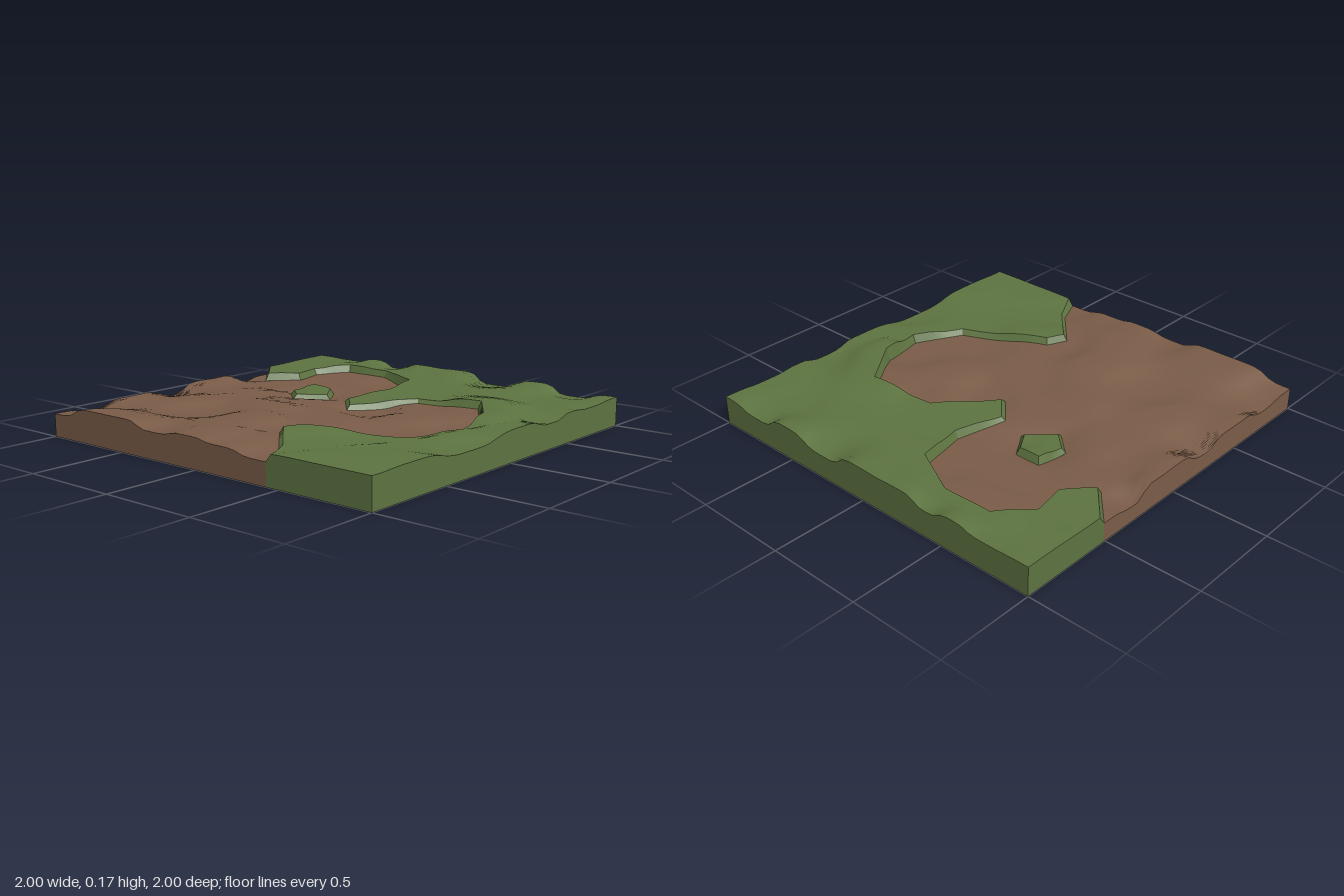
import * as THREE from 'three';
import { mergeVertices } from 'three/addons/utils/BufferGeometryUtils.js';

const LEVELS = 4, SEGS = 2 ** LEVELS;
const grassMat = new THREE.MeshStandardMaterial({ color: 0x5d7340, side: THREE.DoubleSide });
const dirtMat = new THREE.MeshStandardMaterial({ color: 0x7a5c48, side: THREE.DoubleSide });

// Plan outlines as [x, z]
const bank = [[-1, 0.46], [-0.83, 0.37], [-0.62, 0.18], [-0.53, 0.22], [-0.34, 0.67], [-0.09, 0.8],
  [0.15, 0.75], [0.39, 0.58], [0.35, 0.22], [0.07, 0], [0.19, -0.11], [0.45, -0.05], [0.7, -0.1],
  [0.83, -0.36], [0.83, -0.63], [0.66, -0.76], [0.49, -0.73], [0.37, -0.85], [0.54, -1]];
const islet = [[0.12, -0.41], [0.2, -0.5], [0.34, -0.48], [0.335, -0.36], [0.225, -0.29]];

// Height samples as [x, z, y]
const grassHeights = [
  [-1, 1, 0.15], [-0.75, 1, 0.155], [-0.3, 1, 0.12], [0.1, 1, 0.155], [0.37, 1, 0.125], [0.55, 1, 0.15],
  [0.7, 1, 0.14], [1, 1, 0.15], [1, 0.73, 0.12], [1, 0.55, 0.17], [1, 0.25, 0.12], [1, 0.05, 0.175],
  [1, -0.25, 0.175], [1, -0.42, 0.135], [1, -0.55, 0.17], [1, -0.75, 0.145], [1, -1, 0.15],
  [-1, 0.6, 0.15], [-0.83, 0.37, 0.14], [-0.55, 0.2, 0.16], [-0.34, 0.67, 0.13], [-0.09, 0.8, 0.145],
  [0.15, 0.75, 0.175], [0.39, 0.58, 0.17], [0.35, 0.22, 0.14], [0.07, 0, 0.125], [0.45, -0.05, 0.14],
  [0.7, -0.1, 0.15], [0.83, -0.36, 0.15], [0.83, -0.63, 0.155], [0.6, -0.75, 0.14], [0.37, -0.85, 0.145],
  [0.2, -0.5, 0.117], [0.34, -0.48, 0.13], [0.23, -0.3, 0.115], [0.7, 0.45, 0.15], [0.8, 0.7, 0.135]];
const dirtHeights = [
  [-1, -1, 0.115], [-1, -0.7, 0.165], [-1, -0.49, 0.165], [-1, -0.29, 0.13], [-1, -0.04, 0.15],
  [-1, 0.13, 0.135], [-1, 0.4, 0.11], [-0.72, -1, 0.095], [-0.61, -1, 0.13], [-0.41, -1, 0.13],
  [-0.25, -1, 0.09], [-0.03, -1, 0.14], [0.18, -1, 0.14], [0.28, -1, 0.08], [0.5, -1, 0.1],
  [-0.8, -0.07, 0.155], [-0.5, -0.1, 0.15], [-0.2, -0.3, 0.14], [0, -0.25, 0.115], [-0.5, -0.5, 0.11],
  [-0.35, -0.68, 0.135], [0, -0.62, 0.125], [0.2, -0.8, 0.11], [0.23, -0.4, 0.085], [0.5, -0.5, 0.1],
  [0.75, -0.5, 0.115], [0.55, -0.15, 0.1], [-0.55, 0.12, 0.125], [-0.2, 0.05, 0.12], [0.1, 0.12, 0.095],
  [0.25, 0.3, 0.12], [0.05, 0.4, 0.125], [-0.25, 0.55, 0.1], [0, 0.68, 0.1], [0.3, 0.55, 0.13]];

// Smooth blend of nearby height samples
const heightFrom = (samples) => (x, z) => {
  let sum = 0, total = 0;
  for (const [sx, sz, sy] of samples) {
    const d2 = (x - sx) ** 2 + (z - sz) ** 2 + 0.002;
    const w = 1 / (d2 * d2);
    sum += w * sy;
    total += w;
  }
  return sum / total;
};
const grassY = heightFrom(grassHeights);
const dirtY = heightFrom(dirtHeights);

// Push an outline towards the dirt side with mitred corners
function offset(path, dist, closed) {
  const normal = (a, b) => {
    const l = Math.hypot(b[0] - a[0], b[1] - a[1]);
    return [(b[1] - a[1]) / l, (a[0] - b[0]) / l];
  };
  const n = path.length;
  return path.map((p, i) => {
    if (!closed && (i === 0 || i === n - 1)) return i === 0 ? [p[0], p[1] - 0.03] : [p[0] - 0.03, p[1]];
    const n1 = normal(path[(i + n - 1) % n], p), n2 = normal(p, path[(i + 1) % n]);
    const k = dist / Math.max(0.5, 1 + n1[0] * n2[0] + n1[1] * n2[1]);
    return [p[0] + (n1[0] + n2[0]) * k, p[1] + (n1[1] + n2[1]) * k];
  });
}

// Split every edge evenly and lift it to a height
function lift(path, yAt) {
  const out = [];
  for (let i = 0; i < path.length - 1; i++) {
    for (let s = i ? 1 : 0; s <= SEGS; s++) {
      const t = s / SEGS;
      const x = path[i][0] + (path[i + 1][0] - path[i][0]) * t;
      const z = path[i][1] + (path[i + 1][1] - path[i][1]) * t;
      out.push([x, yAt(x, z), z]);
    }
  }
  return out;
}

function makeMesh(name, positions, material, smooth) {
  let geo = new THREE.BufferGeometry();
  geo.setAttribute('position', new THREE.Float32BufferAttribute(positions, 3));
  if (smooth) geo = mergeVertices(geo, 1e-5);
  geo.computeVertexNormals();
  const mesh = new THREE.Mesh(geo, material);
  mesh.name = name;
  return mesh;
}

// Rolling ground: triangulated outline, subdivided and lifted
function ground(name, outline, holes, yAt, material) {
  const toV = (p) => new THREE.Vector2(p[0], p[1]);
  const points = [outline, ...holes].flat();
  const faces = THREE.ShapeUtils.triangulateShape(outline.map(toV), holes.map((h) => h.map(toV)));
  const pos = [];
  const mid = (a, b) => [(a[0] + b[0]) / 2, (a[1] + b[1]) / 2];
  const split = (a, b, c, level) => {
    if (level === 0) {
      for (const p of [a, b, c]) pos.push(p[0], yAt(p[0], p[1]), p[1]);
      return;
    }
    const ab = mid(a, b), bc = mid(b, c), ca = mid(c, a);
    split(a, ab, ca, level - 1);
    split(ab, b, bc, level - 1);
    split(ca, bc, c, level - 1);
    split(ab, bc, ca, level - 1);
  };
  for (const f of faces) {
    const [a, b, c] = f.map((i) => points[i]);
    const up = (b[1] - a[1]) * (c[0] - a[0]) - (b[0] - a[0]) * (c[1] - a[1]) > 0;
    if (up) split(a, b, c, LEVELS);
    else split(a, c, b, LEVELS);
  }
  return makeMesh(name, pos, material, true);
}

// Ribbon of quads between an upper and a lower line
function strip(name, top, bottom, material) {
  const pos = [];
  for (let i = 0; i < top.length - 1; i++) {
    pos.push(...top[i], ...top[i + 1], ...bottom[i], ...top[i + 1], ...bottom[i + 1], ...bottom[i]);
  }
  return makeMesh(name, pos, material, false);
}
const skirt = (name, top, material) => strip(name, top, top.map(([x, , z]) => [x, 0, z]), material);

export function createModel() {
  const model = new THREE.Group();
  model.name = 'terrainTile';
  const bankFoot = offset(bank, 0.018, false);
  const isletFoot = offset(islet, 0.018, true);
  const first = bank[0], last = bank[bank.length - 1];
  const footFirst = bankFoot[0], footLast = bankFoot[bankFoot.length - 1];

  // Tile edges, in walking order around the outside
  const grassEdge = [last, [1, -1], [1, -0.33], [1, 0.33], [1, 1], [0.33, 1], [-0.33, 1], [-1, 1], first];
  const dirtEdge = [footFirst, [-1, -0.3], [-1, -1], [-0.25, -1], footLast];

  // Ground surfaces
  model.add(ground('grass', [...bank, ...grassEdge.slice(1, -1)], [], grassY, grassMat));
  model.add(ground('dirt', [...bankFoot.slice().reverse(), ...dirtEdge.slice(1, -1)], [isletFoot], dirtY, dirtMat));
  model.add(ground('grassIslet', islet, [], grassY, grassMat));

  // Steep grass banks down to the dirt
  const loop = (p) => [...p, p[0]];
  model.add(strip('grassBank', lift(bank, grassY), lift(bankFoot, dirtY), grassMat));
  model.add(strip('isletBank', lift(loop(islet), grassY), lift(loop(isletFoot), dirtY), grassMat));

  // Outer side walls, open underneath
  const at = (p) => [p[0], dirtY(...p), p[1]];
  model.add(skirt('grassSides', [at(footLast), ...lift(grassEdge, grassY), at(footFirst)], grassMat));
  model.add(skirt('dirtSides', lift(dirtEdge, dirtY), dirtMat));
  return model;
}
